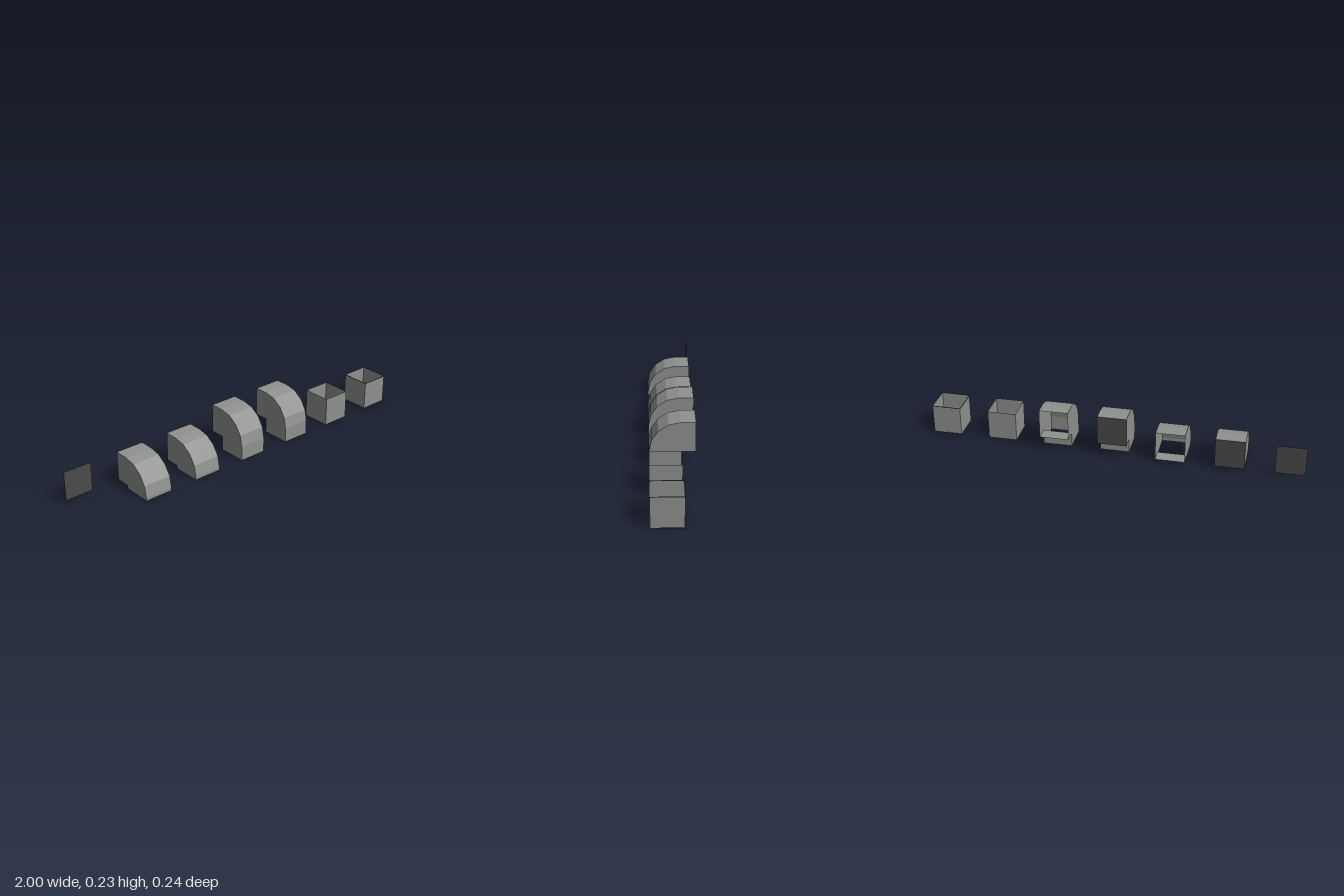
import * as THREE from 'three';

const W = 0.153;        // duct width
const FRONT = 0.117;    // front wall z
const INNER = -0.039;   // inner corner z, centre of the bend
const BACK = -0.115;    // outlet z
const R = FRONT - INNER;

// Folded sheet: a (z, y) polyline swept across the duct width, flat facets
function sheet(points) {
  const pos = [];
  for (let i = 0; i + 1 < points.length; i++) {
    const [z0, y0] = points[i], [z1, y1] = points[i + 1], h = W / 2;
    pos.push(-h, y0, z0, h, y0, z0, h, y1, z1, -h, y0, z0, h, y1, z1, -h, y1, z1);
  }
  const g = new THREE.BufferGeometry();
  g.setAttribute('position', new THREE.Float32BufferAttribute(pos, 3));
  g.computeVertexNormals();
  return g;
}

export function createModel() {
  const metal = new THREE.MeshStandardMaterial({ color: 0x8f928f, side: THREE.DoubleSide });
  metal.name = 'sheet metal grey';
  const dark = new THREE.MeshStandardMaterial({ color: 0x4b4b4b });
  dark.name = 'dark grey';

  const model = new THREE.Group();
  model.name = 'ductPieces';

  const add = (parent, name, geometry, material, x = 0, y = 0, z = 0) => {
    const mesh = new THREE.Mesh(geometry, material);
    mesh.name = name;
    mesh.position.set(x, y, z);
    parent.add(mesh);
  };
  const piece = (name, x) => {
    const group = new THREE.Group();
    group.name = name;
    group.position.x = x;
    model.add(group);
    return group;
  };
  const addCover = (parent, bottom) =>
    add(parent, 'coverPlate', new THREE.BoxGeometry(W, R, 0.002), dark, 0, bottom + R / 2, BACK - 0.0015);

  // Elbow: open inlet below, quarter bend in four facets, outlet at the back
  function elbow(name, x, rise, covered) {
    const group = piece(name, x);
    const outer = [[FRONT, 0]];
    for (let i = 0; i <= 4; i++) {
      const a = (i / 4) * Math.PI / 2;
      outer.push([INNER + R * Math.cos(a), rise + R * Math.sin(a)]);
    }
    outer.push([BACK, rise + R]);
    const inner = [[BACK, rise], [INNER, rise], [INNER, 0]];
    add(group, 'outerBend', sheet(outer), metal);
    add(group, 'innerCorner', sheet(inner), metal);
    const side = new THREE.ShapeGeometry(
      new THREE.Shape([...outer, ...inner].map(([z, y]) => new THREE.Vector2(z, y))));
    side.rotateY(-Math.PI / 2);
    for (const s of [-1, 1]) add(group, s < 0 ? 'rightWall' : 'leftWall', side, metal, s * W / 2);
    if (covered) addCover(group, rise);
  }

  // Straight duct, open above and below
  function straight(name, x, rimmed) {
    const group = piece(name, x);
    const zc = (FRONT + INNER) / 2;
    const wall = new THREE.PlaneGeometry(W, R);
    const sideWall = new THREE.PlaneGeometry(R, R).rotateY(Math.PI / 2);
    add(group, 'frontWall', wall, metal, 0, R / 2, FRONT);
    add(group, 'backWall', wall.clone().rotateY(Math.PI), metal, 0, R / 2, INNER);
    for (const s of [-1, 1]) add(group, s < 0 ? 'rightWall' : 'leftWall', sideWall, metal, s * W / 2, R / 2, zc);
    if (!rimmed) return;
    // Thin rims around both openings
    const t = 0.003;
    for (const y of [t / 2, R + t / 2 - 0.001]) {
      for (const s of [-1, 1]) {
        add(group, 'rimLong', new THREE.BoxGeometry(W + 2 * t, t, t), dark, 0, y, zc + s * (R + t) / 2);
        add(group, 'rimSide', new THREE.BoxGeometry(t, t, R), dark, s * (W + t) / 2, y, zc);
      }
    }
  }

  addCover(piece('loosePlate', -0.9225), 0.018);
  elbow('shortElbowCovered', -0.615, 0.018, true);
  elbow('shortElbowOpen', -0.308, 0.018, false);
  elbow('tallElbowCovered', -0.004, 0.079, true);
  elbow('tallElbowOpen', 0.305, 0.079, false);
  straight('straightDuct', 0.61, false);
  straight('straightDuctRimmed', 0.919, true);
  return model;
}
